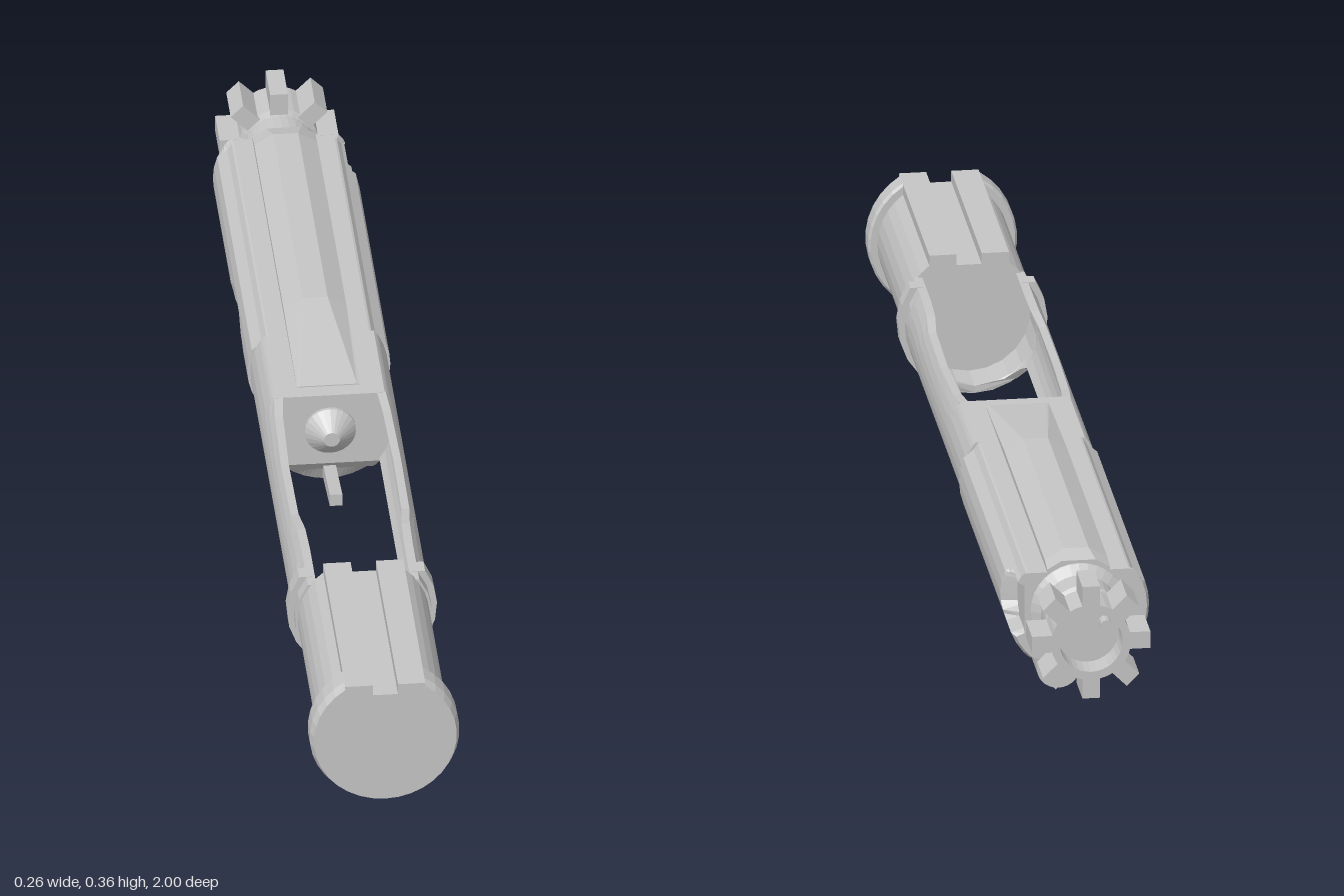
import * as THREE from 'three';

const CY = 0.25; // height of the long axis
const steel = new THREE.MeshStandardMaterial({ color: 0xc6c6c6, flatShading: true });
steel.name = 'steel grey';

// Joins counter-clockwise [x, y] sections at rising z into a capped solid
function loft(stations) {
  const pos = [];
  const n = stations[0].pts.length;
  const put = (s, i) => pos.push(s.pts[i % n][0], s.pts[i % n][1], s.z);
  for (let k = 0; k < stations.length - 1; k++) {
    const a = stations[k], b = stations[k + 1];
    for (let i = 0; i < n; i++) {
      put(a, i); put(a, i + 1); put(b, i + 1);
      put(a, i); put(b, i + 1); put(b, i);
    }
  }
  const cap = (s, flip) => {
    const contour = s.pts.map(p => new THREE.Vector2(p[0], p[1]));
    for (const t of THREE.ShapeUtils.triangulateShape(contour, [])) {
      for (const i of flip ? [t[2], t[1], t[0]] : t) put(s, i);
    }
  };
  cap(stations[0], true);
  cap(stations[stations.length - 1], false);
  const g = new THREE.BufferGeometry();
  g.setAttribute('position', new THREE.Float32BufferAttribute(pos, 3));
  g.computeVertexNormals();
  return g;
}

// Side profile of [z, y] points given a width across x
function plate(points, width) {
  const shape = new THREE.Shape(points.map(([z, y]) => new THREE.Vector2(-z, y)));
  return new THREE.ExtrudeGeometry(shape, { depth: width, bevelEnabled: false })
    .translate(0, 0, -width / 2).rotateY(Math.PI / 2);
}

// Round outline with a raised, grooved flat on top
function tailSection(r) {
  const a = Math.acos(0.07 / r), pts = [], N = 28;
  for (let i = 0; i <= N; i++) {
    const t = Math.PI - a + (i / N) * (Math.PI + 2 * a);
    pts.push([r * Math.cos(t), CY + r * Math.sin(t)]);
  }
  pts.push([0.07, 0.36], [0.022, 0.36], [0.022, 0.34], [-0.022, 0.34], [-0.022, 0.36], [-0.07, 0.36]);
  return pts;
}

// One side of a hollow tube, cut level at two heights
function wallSection(side, R, r, bottom, top) {
  const pts = [], N = 8;
  const angle = (y, q) => Math.asin(THREE.MathUtils.clamp((y - CY) / q, -1, 1));
  const arc = (q, y0, y1) => {
    const a0 = angle(y0, q), a1 = angle(y1, q);
    for (let i = 0; i <= N; i++) {
      const a = a0 + (a1 - a0) * i / N;
      pts.push([side * q * Math.cos(a), CY + q * Math.sin(a)]);
    }
  };
  arc(R, bottom, top);
  arc(r, top, bottom);
  return side > 0 ? pts : pts.reverse();
}

// Local cuts into the sides of the body
function cutSide(x, y, z) {
  const round = (d, r) => r * Math.sqrt(Math.max(0, 1 - (d / r) ** 2));
  // Flat scallop with a rounded rear end
  if (z < -0.74 && Math.abs(y - 0.255) < round(Math.max(0, z + 0.787), 0.047)) x = Math.min(x, 0.095);
  // Round-topped notch
  const d = Math.abs(z + 0.165);
  if (d < 0.0251 && y < 0.175 + round(d, 0.0252)) x = Math.min(x, 0.06);
  // Shallow oval hollow
  const e = ((y - 0.21) / 0.055) ** 2 + ((z + 0.41) / 0.11) ** 2;
  if (e < 1) x = Math.max(x, -0.104 - 0.02 * e);
  return x;
}

// Solid body section: faceted round with flats above and below
function bodySection(z, bottom, r) {
  const pts = [], N = 36, sub = 3;
  for (let i = 0; i < N * sub; i++) {
    const corner = k => {
      const a = (k / N) * Math.PI * 2;
      const q = r > 0.122 && r * Math.sin(a) > 0.052 ? 0.115 : r;
      return [q * Math.cos(a), q * Math.sin(a)];
    };
    const k = Math.floor(i / sub), f = (i % sub) / sub;
    const a = corner(k), b = corner(k + 1);
    const y = THREE.MathUtils.clamp(CY + a[1] + (b[1] - a[1]) * f, bottom, 0.32);
    pts.push([cutSide(a[0] + (b[0] - a[0]) * f, y, z), y]);
  }
  return pts;
}

export function createModel() {
  const model = new THREE.Group();
  const add = (name, geometry) => {
    const mesh = new THREE.Mesh(geometry, steel);
    mesh.name = name;
    model.add(mesh);
  };

  // Tail cylinder and end flange
  add('tailCylinder', loft([0.6, 0.95].map(z => ({ z, pts: tailSection(0.115) }))));
  add('tailFlange', loft([[0.945, 0.127], [0.95, 0.131], [0.985, 0.131], [1, 0.125]]
    .map(([z, r]) => ({ z, pts: tailSection(r) }))));

  // Open middle: two curved walls, meeting in a floor at the tail, and a collar
  const walls = [
    [-0.004, 0.185, 0.32], [0.05, 0.185, 0.314], [0.2, 0.185, 0.308], [0.36, 0.185, 0.31], [0.42, 0.185, 0.318],
    [0.49, 0.185, 0.32], [0.51, 0.175, 0.32], [0.52, 0.155, 0.32], [0.525, 0.12, 0.32], [0.605, 0.12, 0.32],
  ];
  for (const side of [1, -1]) {
    const label = side > 0 ? 'left' : 'right';
    add(label + 'Wall', loft(walls.map(([z, b, t]) => ({ z, pts: wallSection(side, 0.12, 0.108, b, t) }))));
    add(label + 'Collar', loft([0.55, 0.58].map(z => ({ z, pts: wallSection(side, 0.131, 0.112, 0.1, 0.321) }))));
  }

  // Main body: z, underside height, radius
  const body = [[-0.835, 0.16, 0.12], [-0.825, 0.16, 0.125], [-0.787, 0.16, 0.125], [-0.765, 0.16, 0.125],
    [-0.75, 0.16, 0.125], [-0.75, 0.13, 0.125], [-0.745, 0.13, 0.125], [-0.739, 0.13, 0.125]];
  for (let i = 0; i <= 10; i++) body.push([-0.52 + i * 0.022, 0.13, 0.125]);
  body.push([-0.2, 0.13, 0.125], [-0.2, 0.13, 0.12], [-0.1902, 0.13, 0.12]);
  for (let i = 0; i <= 8; i++) body.push([-0.165 - 0.025 * Math.cos(i * Math.PI / 8), 0.13, 0.12]);
  body.push([-0.1398, 0.13, 0.12], [-0.03, 0.13, 0.12], [-0.015, 0.16, 0.12], [0, 0.18, 0.12]);
  add('mainBody', loft(body.map(([z, b, r]) => ({ z, pts: bodySection(z, b, r) }))));

  // Tapered ridge along the top: z, shoulder height, top height, top half width
  const ridge = [
    [-0.835, 0.325, 0.34, 0.03], [-0.8, 0.33, 0.35, 0.022], [-0.27, 0.33, 0.35, 0.022], [-0.03, 0.321, 0.322, 0.05],
  ];
  add('topRidge', loft(ridge.map(([z, s, t, w]) => ({
    z, pts: [[-0.055, 0.3], [0.055, 0.3], [0.055, s], [w, t], [-w, t], [-0.055, s]],
  }))));

  // Conical pin end facing the opening
  const cone = [[0, -0.01], [0.045, -0.01], [0.045, 0.006], [0.014, 0.035], [0, 0.035]];
  add('pinEnd', new THREE.LatheGeometry(cone.map(p => new THREE.Vector2(p[0], p[1])), 24)
    .rotateX(Math.PI / 2).translate(0, CY, 0));

  // Bolt neck and hollow head
  const bolt = [
    [0, 0.8], [0.085, 0.8], [0.085, 0.838], [0.068, 0.85], [0.068, 0.9], [0.06, 0.91],
    [0.06, 0.92], [0.07, 0.925], [0.07, 1], [0.055, 1], [0.055, 0.95], [0, 0.95],
  ];
  add('bolt', new THREE.LatheGeometry(bolt.map(p => new THREE.Vector2(p[0], p[1])), 32)
    .rotateX(-Math.PI / 2).translate(0, CY, 0));
  for (let i = 0; i < 8; i++) {
    add('boltLug', new THREE.BoxGeometry(0.042, 0.031, 0.08).translate(0.083, 0, -0.96)
      .rotateZ(i * Math.PI / 4).translate(0, CY, 0));
  }
  add('boltFacePin', new THREE.CylinderGeometry(0.01, 0.01, 0.03, 12).rotateX(Math.PI / 2)
    .translate(-0.03, CY + 0.02, -0.96));

  // Keel below the body, thin at the front and wider over the hook
  add('keel', plate([[0.11, 0.185], [0.11, 0.162], [0, 0.145], [-0.2, 0.122], [-0.35, 0.08],
    [-0.57, 0.08], [-0.57, 0.16], [-0.1, 0.16]], 0.022));
  add('keelShoulder', plate([[-0.3, 0.14], [-0.43, 0.1], [-0.57, 0.1], [-0.57, 0.14]], 0.05));

  // Hook: rounded underside, rounded nose and a chamfer beneath the nose
  const hookSection = (z, w) => {
    const pts = [[w, 0.1], [-w, 0.1]], R = 0.038;
    for (let i = 0; i <= 14; i++) {
      const x = -w * Math.cos((i / 14) * Math.PI);
      const under = R - Math.sqrt(Math.max(0, R * R - x * x));
      pts.push([x, Math.max(under, (z + 0.48) * 1.05)]);
    }
    return pts;
  };
  const hook = [[-0.57, 0.038], [-0.48, 0.038], [-0.467, 0.038], [-0.452, 0.034], [-0.44, 0.026], [-0.433, 0.011]];
  add('hook', loft(hook.map(([z, w]) => ({ z, pts: hookSection(z, w) }))));

  // Foot under the forward end
  add('footMount', plate([[-0.6, 0.15], [-0.6, 0.138], [-0.65, 0.12], [-0.755, 0.12], [-0.755, 0.15]], 0.1));
  add('footStem', new THREE.CylinderGeometry(0.025, 0.025, 0.04, 20).translate(0, 0.115, -0.7));
  add('foot', plate([[-0.66, 0.112], [-0.668, 0.085], [-0.74, 0.085], [-0.74, 0.112]], 0.1));

  return model;
}
